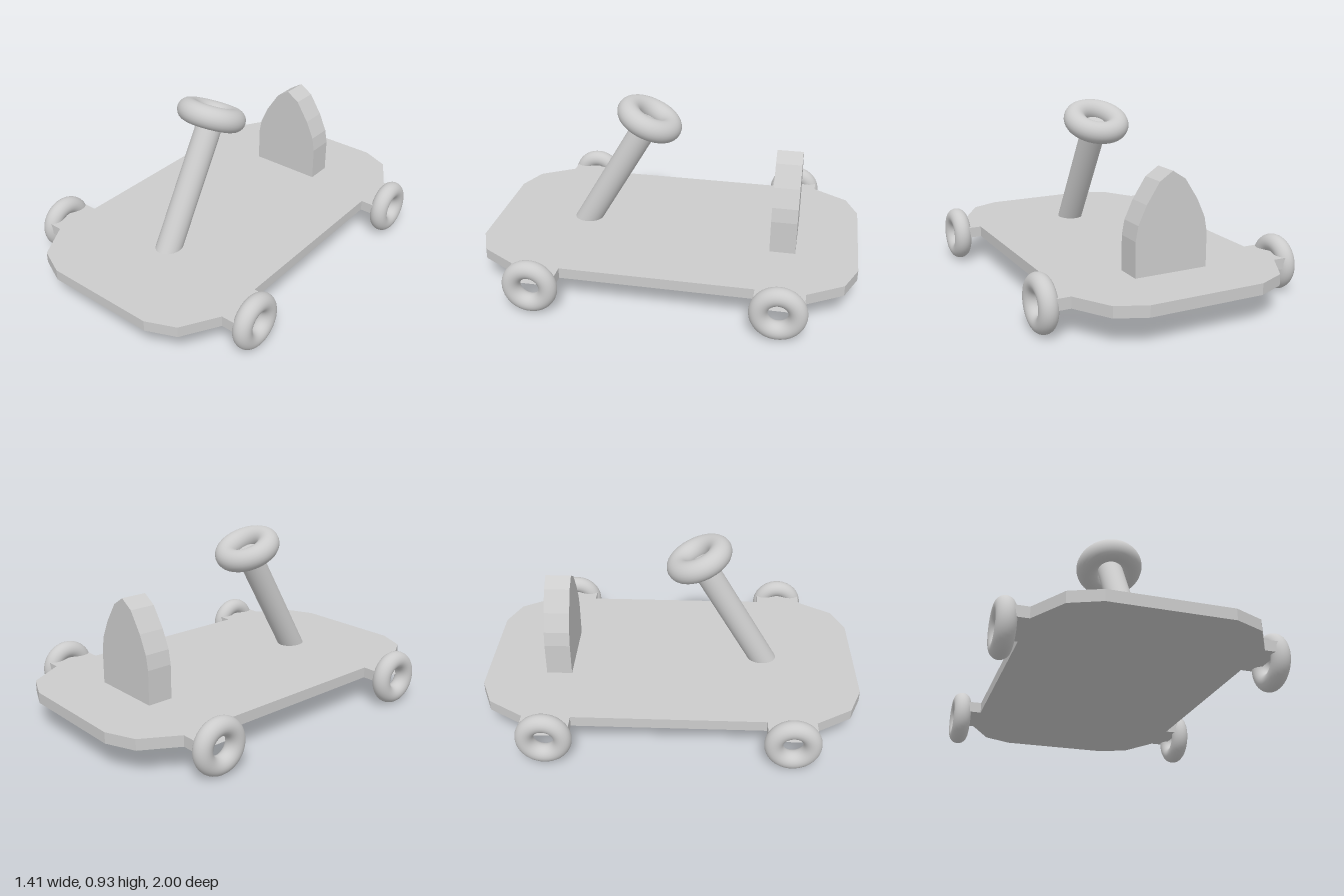
import * as THREE from 'three';

const grey = new THREE.MeshStandardMaterial({ color: 0xcccccc });
const openGrey = new THREE.MeshStandardMaterial({ color: 0xcccccc, side: THREE.DoubleSide });

function named(name, geometry, material = grey) {
  const mesh = new THREE.Mesh(geometry, material);
  mesh.name = name;
  return mesh;
}

// Closed shape from one half of its outline, mirrored across x = 0
function mirroredShape(half) {
  const other = half.filter(([x]) => x > 0).map(([x, y]) => [-x, y]).reverse();
  return new THREE.Shape([...half, ...other].map(([x, y]) => new THREE.Vector2(x, y)));
}

// Flat deck with four axle tabs; the tab ends are open
function makeDeck() {
  const tabEnd = 0.64;
  const front = [[0.56, 0.5], [tabEnd, 0.5], [tabEnd, 0.75], [0.56, 0.75], [0.45, 0.935], [0.3, 1]];
  const back = front.map(([x, z]) => [x, -z]).reverse();
  const solid = new THREE.ExtrudeGeometry(mirroredShape([...back, ...front]), { depth: 0.057, bevelEnabled: false });
  solid.rotateX(Math.PI / 2).translate(0, 0.206, 0);

  const p = solid.attributes.position;
  const kept = [];
  for (let i = 0; i < p.count; i += 3) {
    const isTabEnd = [0, 1, 2].every((k) => Math.abs(p.getX(i + k)) > tabEnd - 0.001);
    const oneSide = Math.sign(p.getX(i)) === Math.sign(p.getX(i + 1)) && Math.sign(p.getX(i)) === Math.sign(p.getX(i + 2));
    const flat = Math.abs(solid.attributes.normal.getY(i)) > 0.5;
    if (isTabEnd && oneSide && !flat) continue;
    for (let k = 0; k < 3; k++) kept.push(p.getX(i + k), p.getY(i + k), p.getZ(i + k));
  }
  const deck = new THREE.BufferGeometry();
  deck.setAttribute('position', new THREE.Float32BufferAttribute(kept, 3));
  deck.computeVertexNormals();
  return named('deck', deck, openGrey);
}

// Pointed backrest
function makeBackrest() {
  const half = [[0.197, 0.2], [0.197, 0.385], [0.183, 0.46], [0.139, 0.555], [0.07, 0.66], [0, 0.705]];
  const geometry = new THREE.ExtrudeGeometry(mirroredShape(half), { depth: 0.136, bevelEnabled: false });
  return named('backrest', geometry.translate(0, 0, -0.677));
}

// Leaning column, its foot cut level with the deck
function makeColumn() {
  const base = new THREE.Vector3(0, 0.2, 0.498);
  const top = new THREE.Vector3(0, 0.81, 0.143);
  const axis = top.clone().sub(base);
  const length = axis.length();
  axis.normalize();
  const geometry = new THREE.CylinderGeometry(0.068, 0.068, length, 32);
  geometry.translate(0, length / 2, 0);
  geometry.rotateX(-Math.acos(axis.y)).translate(base.x, base.y, base.z);
  const p = geometry.attributes.position;
  const v = new THREE.Vector3();
  for (let i = 0; i < p.count; i++) {
    v.fromBufferAttribute(p, i);
    if (v.distanceTo(base) > 0.1) continue;
    v.addScaledVector(axis, (base.y - v.y) / axis.y);
    p.setXYZ(i, v.x, v.y, v.z);
  }
  return named('steeringColumn', geometry);
}

export function createModel() {
  const model = new THREE.Group();
  model.name = 'goKart';
  model.add(makeDeck(), makeBackrest(), makeColumn());

  // Steering wheel, tipped back towards the driver
  const steering = named('steeringWheel', new THREE.TorusGeometry(0.12, 0.06, 24, 48));
  steering.rotation.x = -Math.PI / 2 - THREE.MathUtils.degToRad(24);
  steering.position.set(-0.004, 0.827, 0.138);
  model.add(steering);

  // Four ring wheels
  const ring = new THREE.TorusGeometry(0.097, 0.047, 24, 48).rotateY(Math.PI / 2);
  for (const z of [1, -1]) {
    for (const x of [1, -1]) {
      const wheel = named(`${z > 0 ? 'front' : 'back'}${x > 0 ? 'Left' : 'Right'}Wheel`, ring);
      wheel.position.set(x * 0.657, 0.149, z * 0.625);
      model.add(wheel);
    }
  }
  return model;
}
